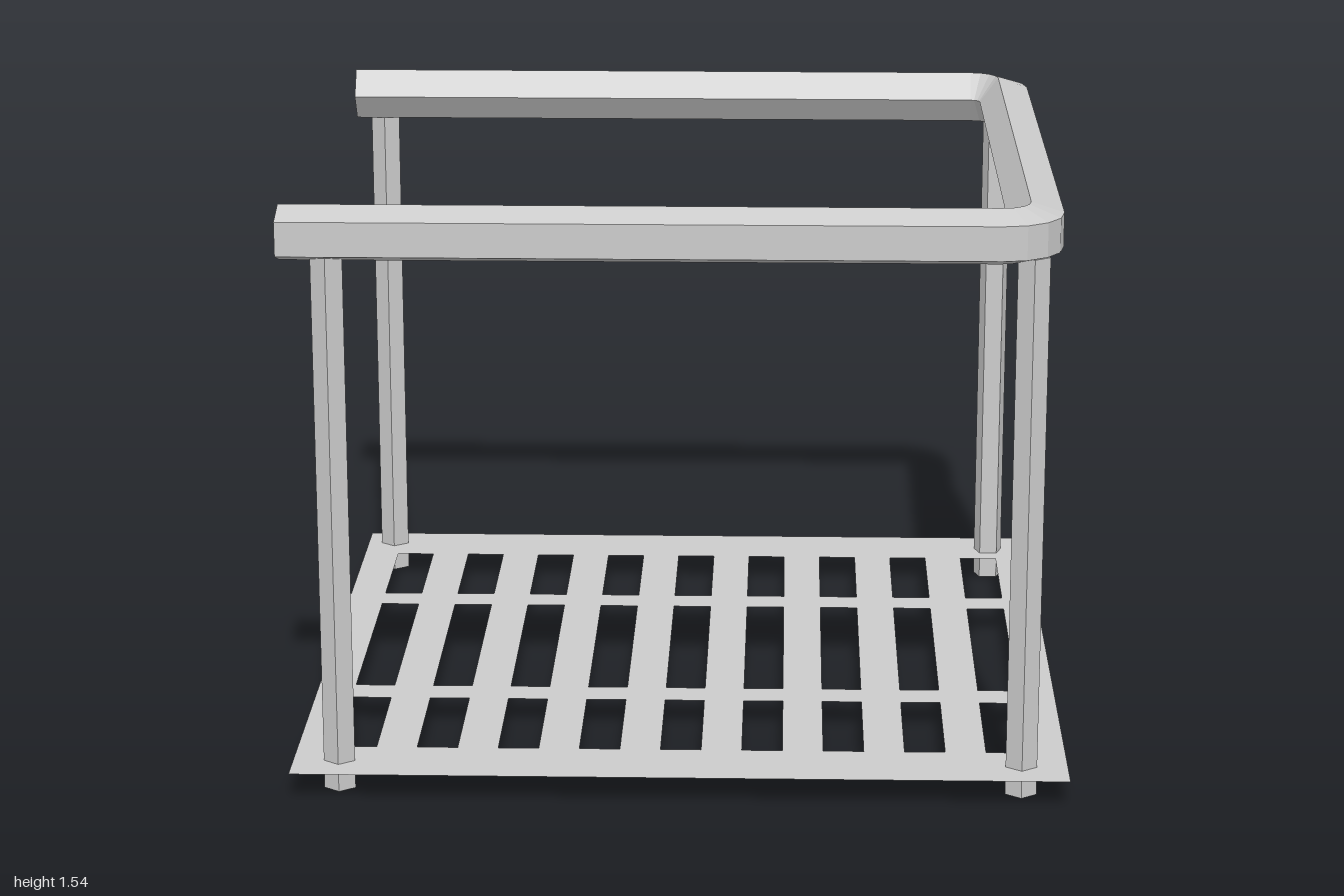
import * as THREE from 'three';

const material = new THREE.MeshStandardMaterial({
  color: 0xcccccc, flatShading: true, side: THREE.DoubleSide,
});
const SIDES = 5;

function addMesh(parent, name, geometry) {
  const mesh = new THREE.Mesh(geometry, material);
  mesh.name = name;
  parent.add(mesh);
  return mesh;
}

// Thin slatted deck: one plate with three rows of nine openings
function deckGeometry() {
  const rect = (P, x0, z0, x1, z1) => {
    const p = new P();
    p.moveTo(x0, z0).lineTo(x1, z0).lineTo(x1, z1).lineTo(x0, z1).closePath();
    return p;
  };
  const plate = rect(THREE.Shape, -1, -1, 1, 1);
  const columns = 9;
  const slat = 1.8 / (2 * columns - 1);
  for (const [z0, z1] of [[-0.8, -0.435], [-0.338, 0.338], [0.435, 0.8]]) {
    for (let i = 0; i < columns; i++) {
      const x = -0.9 + i * 2 * slat;
      plate.holes.push(rect(THREE.Path, x, z0, x + slat, z1));
    }
  }
  return new THREE.ShapeGeometry(plate).rotateX(-Math.PI / 2);
}

// U-shaped hollow rail: a pentagon, point inward, swept round two bends
function railGeometry() {
  const reach = 0.898, bend = 0.1, radius = 0.075, y = 1.472, steps = 4;
  const c = reach - bend;

  // Each ring: centre x, z and the angle of its outward direction
  const rings = [[-1, reach, Math.PI / 2]];
  for (const [cz, from] of [[c, Math.PI / 2], [-c, 0]]) {
    for (let i = 0; i <= steps; i++) {
      const a = from - (i / steps) * Math.PI / 2;
      rings.push([c + bend * Math.cos(a), cz + bend * Math.sin(a), a]);
    }
  }
  rings.push([-1, -reach, -Math.PI / 2]);

  const positions = [], index = [];
  rings.forEach(([x, z, a], i) => {
    for (let j = 0; j < SIDES; j++) {
      const t = (j / SIDES) * Math.PI * 2;
      const out = -radius * Math.cos(t);
      positions.push(x + out * Math.cos(a), y + radius * Math.sin(t), z + out * Math.sin(a));
      if (i < rings.length - 1) {
        const k = (j + 1) % SIDES;
        const p = i * SIDES, q = p + SIDES;
        index.push(p + j, p + k, q + k, p + j, q + k, q + j);
      }
    }
  });
  const geometry = new THREE.BufferGeometry();
  geometry.setAttribute('position', new THREE.Float32BufferAttribute(positions, 3));
  geometry.setIndex(index);
  geometry.computeVertexNormals();
  return geometry;
}

export function createModel() {
  const model = new THREE.Group();
  model.name = 'railedPlatform';

  addMesh(model, 'slattedDeck', deckGeometry()).position.y = 0.075;
  addMesh(model, 'handrail', railGeometry());

  // Five-sided posts, passing through the deck up to the rail
  const height = 1.425;
  const posts = [
    ['frontLeftPost', 0.88, 0.887, 0],
    ['frontRightPost', -0.88, 0.887, 0],
    ['backLeftPost', 0.88, -0.887, Math.PI],
    ['backRightPost', -0.92, -0.917, 0],
  ];
  for (const [name, x, z, turn] of posts) {
    const post = addMesh(model, name, new THREE.CylinderGeometry(0.0425, 0.0425, height, SIDES));
    post.position.set(x, height / 2, z);
    post.rotation.y = turn;
  }
  return model;
}
